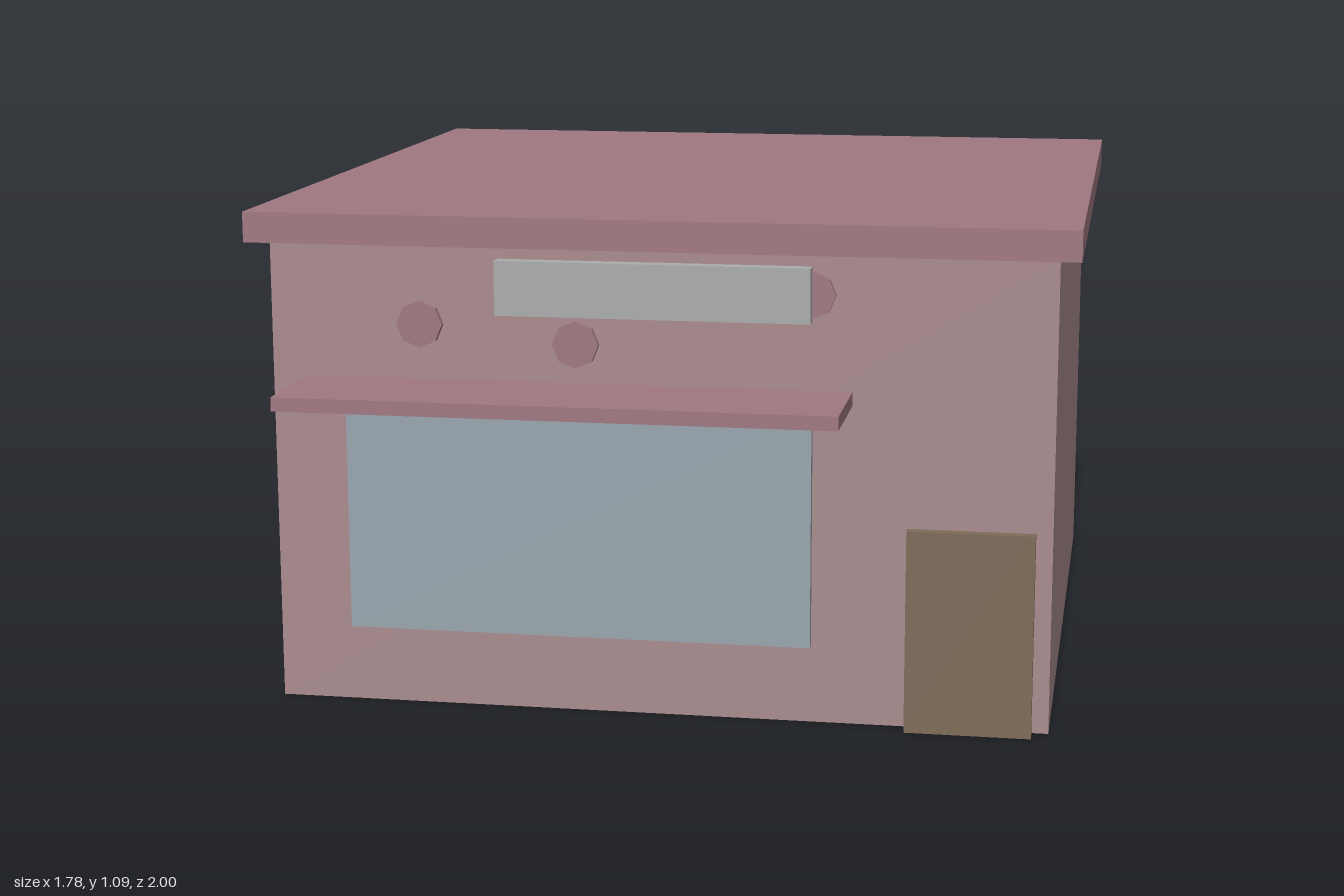
import * as THREE from 'three';

const mat = (color) => new THREE.MeshStandardMaterial({ color, flatShading: true });

// Box given by its extents on each axis
function slab(name, [x0, x1], [y0, y1], [z0, z1], material) {
  const mesh = new THREE.Mesh(new THREE.BoxGeometry(x1 - x0, y1 - y0, z1 - z0), material);
  mesh.position.set((x0 + x1) / 2, (y0 + y1) / 2, (z0 + z1) / 2);
  mesh.name = name;
  return mesh;
}

export function createModel() {
  const model = new THREE.Group();
  model.name = 'shop';
  const wall = mat(0xaa8c8e);
  const trim = mat(0xa07882);
  const glass = mat(0x9aa6af);
  const wood = mat(0x7f6c59);
  const board = mat(0xabadac);

  // Building shell and overhanging flat roof
  model.add(slab('walls', [-0.845, 0.845], [0, 1.02], [-0.955, 0.738], wall));
  model.add(slab('roof', [-0.89, 0.89], [1.02, 1.086], [-1, 0.78], trim));

  // Shop front
  model.add(slab('window', [-0.68, 0.335], [0.17, 0.68], [0.738, 0.757], glass));
  model.add(slab('awning', [-0.765, 0.42], [0.7, 0.73], [0.746, 1], trim));
  model.add(slab('signBoard', [-0.338, 0.335], [0.878, 0.995], [0.757, 0.79], board));
  model.add(slab('door', [0.54, 0.81], [0, 0.442], [0.757, 0.78], wood));

  // Octagonal wall discs
  const discGeometry = new THREE.CylinderGeometry(0.05, 0.05, 0.016, 8);
  discGeometry.rotateX(Math.PI / 2);
  const discs = new THREE.Group();
  discs.name = 'wallDiscs';
  for (const [x, y] of [[-0.51, 0.85], [-0.17, 0.815], [0.335, 0.935]]) {
    const disc = new THREE.Mesh(discGeometry, trim);
    disc.name = 'wallDisc';
    disc.position.set(x, y, 0.757);
    discs.add(disc);
  }
  model.add(discs);
  return model;
}
